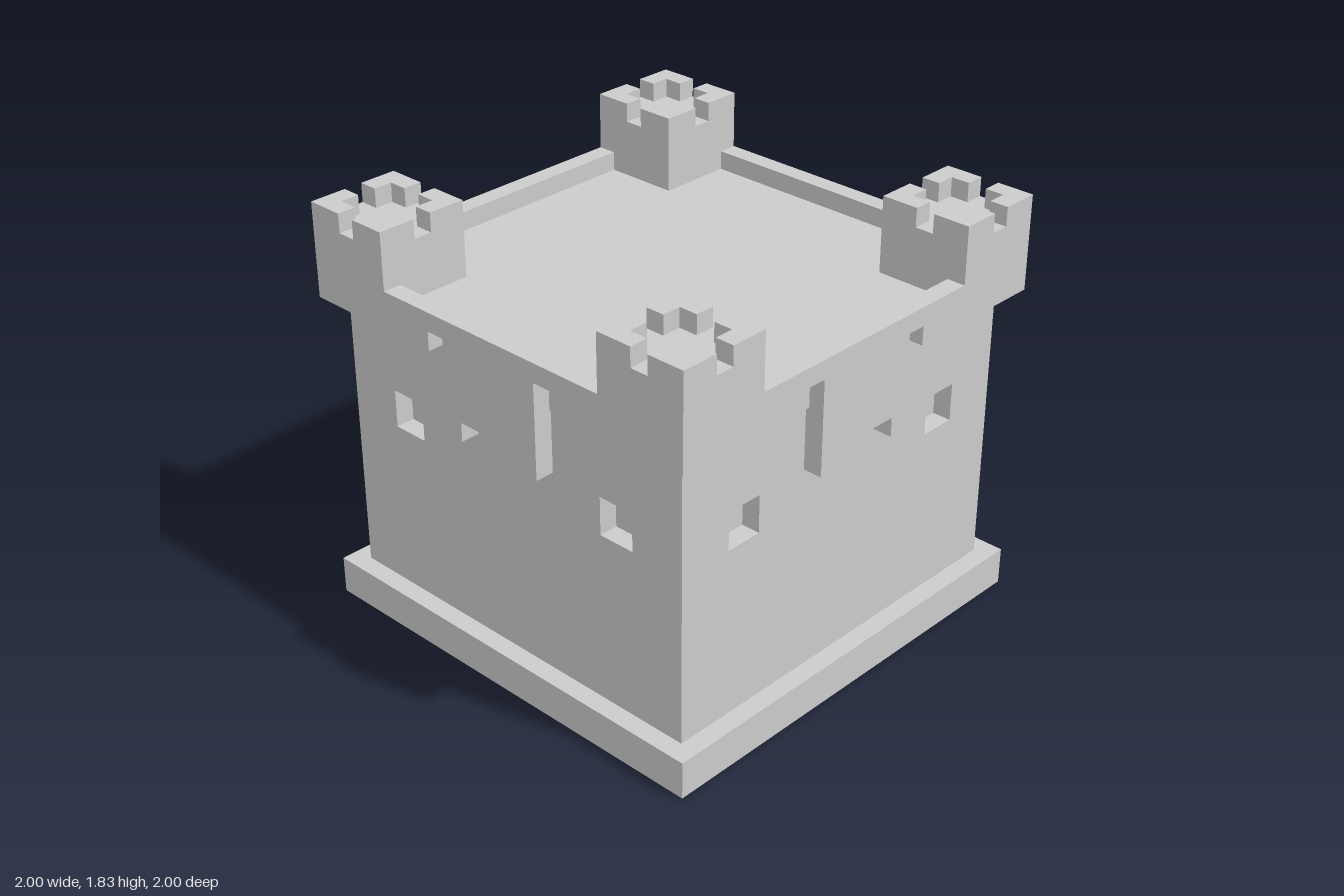
import * as THREE from 'three';

// All sizes below are in blocks; the keep is 24 blocks wide.
const U = 1 / 12;
const material = new THREE.MeshStandardMaterial({ color: 0xcccccc, flatShading: true });

const toPath = (Type, pts) => new Type(pts.map(([x, y]) => new THREE.Vector2(x, y)));
const rect = (x0, y0, x1, y1) => [[x0, y0], [x1, y0], [x1, y1], [x0, y1]];

// Upright slab: outline in x/y, thickness along z starting at z0
function slab(pts, z0, depth, holes = []) {
  const shape = toPath(THREE.Shape, pts);
  shape.holes = holes.map(h => toPath(THREE.Path, h));
  return new THREE.ExtrudeGeometry(shape, { depth, bevelEnabled: false }).translate(0, 0, z0);
}

// Flat plate: outline in x/-z, thickness along y starting at y0
const plate = (pts, y0, height) => slab(pts, 0, height).rotateX(-Math.PI / 2).translate(0, y0, 0);

function part(name, geometry) {
  const mesh = new THREE.Mesh(geometry.scale(U, U, U), material);
  mesh.name = name;
  return mesh;
}

export function createModel() {
  const model = new THREE.Group();
  model.name = 'castleKeep';

  // Plinth, cut away at the back for the gateway
  model.add(part('base', plate(
    [[-12, -12], [12, -12], [12, 12], [4, 12], [4, 11], [-4, 11], [-4, 12], [-12, 12]], 0, 2)));

  // Solid core behind the window recesses, also the roof floor
  model.add(part('core', new THREE.BoxGeometry(20, 16, 20).translate(0, 10, 0)));

  // One side each: wall with windows, overhanging parapet, corner turret
  const windows = [rect(-8, 11, -6, 13), rect(6, 11, 8, 13)];
  const parapet = [
    [-12, 17], [-4, 17], [-4, 18], [-3, 18], [-3, 13], [-2, 13], [-2, 14],
    [2, 14], [2, 13], [3, 13], [3, 18], [4, 18], [4, 17], [11, 17],
    [11, 18], [7, 18], [7, 19], [-7, 19], [-7, 18], [-12, 18]];
  const merlon = [[2.5, 2.5], [0.5, 2.5], [0.5, 1.5], [1.5, 1.5], [1.5, 0.5], [2.5, 0.5]];

  for (let i = 0; i < 4; i++) {
    const side = new THREE.Group();
    side.name = ['front', 'left', 'back', 'right'][i] + 'Side';
    side.rotation.y = i * Math.PI / 2;
    side.add(part('wall', slab(rect(-11, 2, 10, 18), 10, 1, windows)));
    side.add(part('parapet', slab(parapet, 11, 1)));

    const turret = new THREE.Group();
    turret.name = 'turret';
    turret.position.set(9.5 * U, 0, 9.5 * U);
    turret.add(part('turretBlock', new THREE.BoxGeometry(5, 3, 5).translate(0, 19.5, 0)));
    for (let k = 0; k < 4; k++) {
      turret.add(part('merlon', plate(merlon, 21, 1).rotateY(k * Math.PI / 2)));
    }
    side.add(turret);
    model.add(side);
  }

  // Stepped arch around the gateway
  const archHalf = [[4, 2], [5, 2], [5, 6], [4, 6], [4, 7], [3, 7], [3, 8]];
  const innerHalf = [[2, 7], [2, 6], [3, 6], [3, 5], [4, 5]];
  const mirror = pts => pts.map(([x, y]) => [-x, y]).reverse();
  model.add(part('gateArch', slab(
    [...archHalf, ...mirror(archHalf), ...mirror(innerHalf), ...innerHalf], -12, 1)));

  return model;
}
